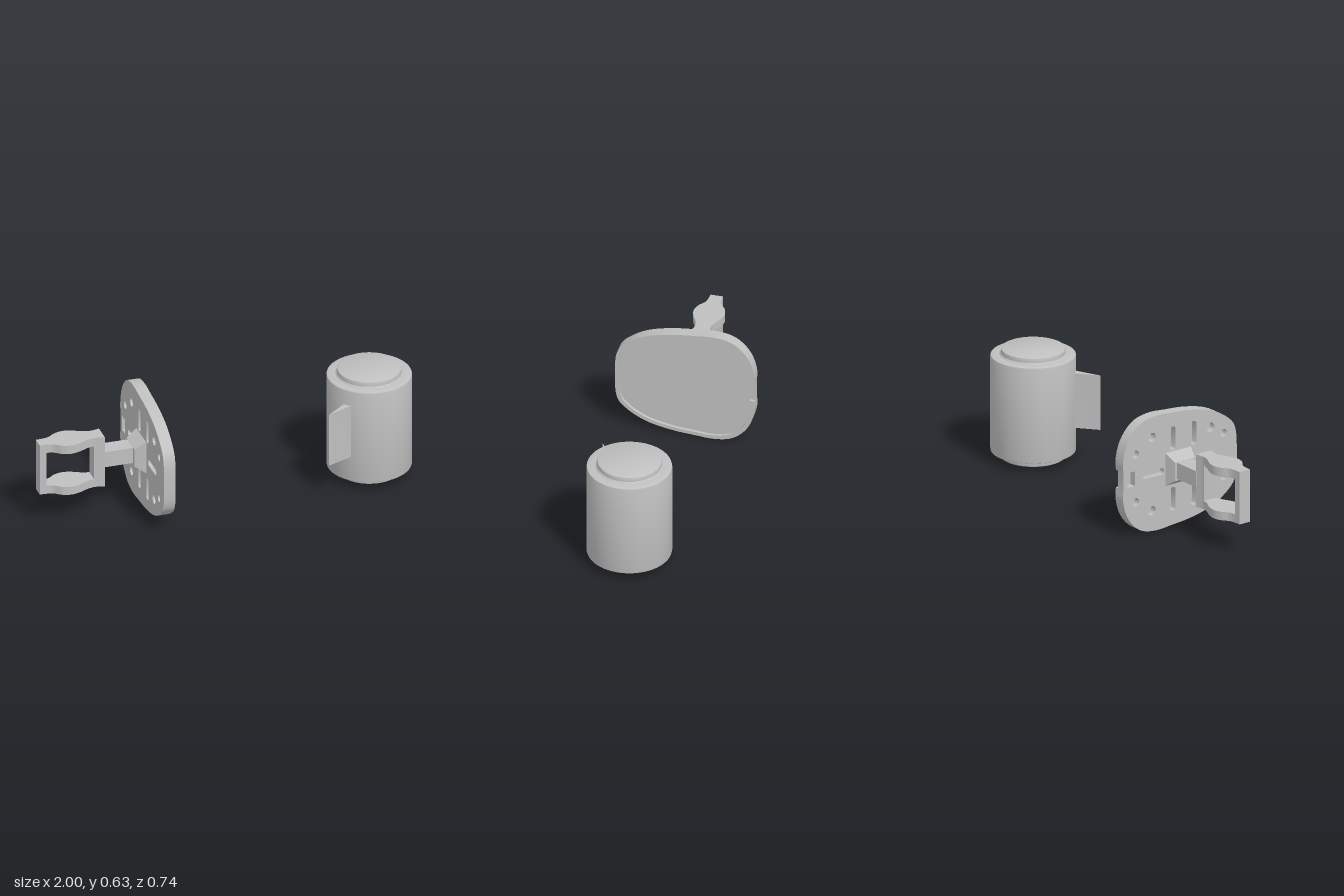
import * as THREE from 'three';
import { toCreasedNormals } from 'three/addons/utils/BufferGeometryUtils.js';

const CY = 0.317; // height of the plate and handle axis
const HZ = -0.011; // handle axis in z

export function createModel() {
  const group = new THREE.Group();
  const grey = new THREE.MeshStandardMaterial({ color: 0xc0c0c0 });
  grey.name = 'plain grey';

  const add = (name, geometry, parent = group) => {
    const mesh = new THREE.Mesh(toCreasedNormals(geometry, 0.6), grey);
    mesh.name = name;
    parent.add(mesh);
    return mesh;
  };

  // ---- Canister: turned body with a stepped cap at each end ----
  const half = [[0.166, 0.045], [0.173, 0.053], [0.212, 0.053], [0.218, 0.056], [0.22, 0.063]];
  const profile = [
    [0, 0.017], [0.158, 0.017], [0.164, 0.02], [0.166, 0.026], ...half,
    ...half.map(([r, y]) => [r, 0.632 - y]).reverse(),
    [0.166, 0.603], [0.164, 0.609], [0.158, 0.612], [0, 0.612],
  ].map(([r, y]) => new THREE.Vector2(r, y));
  const canister = add('canister', new THREE.LatheGeometry(profile, 64));
  canister.position.set(0.779, 0, -0.002);

  // Upright prism: outline in x and z, between two heights
  const prism = (points, y0, y1) => {
    const shape = new THREE.Shape(points.map(([x, z]) => new THREE.Vector2(x, -z)));
    const g = new THREE.ExtrudeGeometry(shape, { depth: y1 - y0, bevelEnabled: false });
    return g.rotateX(-Math.PI / 2).translate(0, y0, 0);
  };
  add('canisterFin', prism([[0.495, 0.213], [0.637, 0.155], [0.67, 0.12], [0.63, 0.1], [0.605, 0.125]], 0.195, 0.492));

  // ---- Mounting plate, drawn in (-z, y) and extruded along x ----
  const plate = new THREE.Group();
  plate.name = 'mountingPlate';
  plate.rotation.y = Math.PI / 2;
  plate.position.set(0, CY, 0);
  group.add(plate);

  const upper = [
    [0.365, 0.048], [0.368, 0.1], [0.345, 0.19], [0.3, 0.255], [0.24, 0.297], [0.15, 0.313],
    [0.05, 0.306], [-0.05, 0.297], [-0.15, 0.278], [-0.22, 0.255], [-0.29, 0.215],
    [-0.345, 0.165], [-0.363, 0.12], [-0.369, 0.06], [-0.37, 0],
  ];
  const lower = upper.slice(0, -1).reverse().map(([u, v]) => [u, -v]);
  const outline = new THREE.CatmullRomCurve3(
    [...upper, ...lower].map(([u, v]) => new THREE.Vector3(u, v, 0)), false, 'centripetal',
  ).getPoints(112).map((p) => new THREE.Vector2(p.x, p.y));

  const layer = (name, shape, x0, x1) => {
    const g = new THREE.ExtrudeGeometry(shape, { depth: x1 - x0, bevelEnabled: false, curveSegments: 10 });
    add(name, g.translate(0, 0, x0), plate);
  };

  // Round-ended opening of half-length a (along u) and b (along v)
  const slot = (u, v, a, b) => {
    const r = Math.min(a, b), pts = [];
    for (let i = 0; i < 24; i++) {
      const t = ((i + 0.5) / 24) * Math.PI * 2;
      const c = Math.cos(t), s = Math.sin(t);
      pts.push(new THREE.Vector2(u + Math.sign(c) * (a - r) + r * c, v + Math.sign(s) * (b - r) + r * s));
    }
    return new THREE.Path(pts);
  };

  const back = new THREE.Shape(outline);
  for (const s of [1, -1]) {
    back.holes.push(
      slot(0.18, s * 0.2, 0.025, 0.025), // screw holes
      slot(0.285, s * 0.13, 0.022, 0.022),
      slot(-0.2, s * 0.17, 0.025, 0.025),
      slot(-0.285, s * 0.12, 0.02, 0.02),
      slot(0.045, s * 0.165, 0.018, 0.065), // upright slots
      slot(-0.09, s * 0.165, 0.018, 0.065),
      slot(s * 0.17, 0, 0.07, 0.018), // level slots
    );
  }
  back.holes.push(new THREE.Path([[0.29, -0.04], [0.34, -0.04], [0.34, 0.04], [0.29, 0.04]]
    .map(([u, v]) => new THREE.Vector2(u, v))));
  layer('plateBack', back, -0.443, -0.405);
  layer('platePanel', new THREE.Shape(outline), -0.405, -0.396);

  // Raised rim, open at the notch
  const inner = outline.map((p) => new THREE.Vector2(p.x * 0.945, p.y * 0.935)).reverse();
  layer('plateRim', new THREE.Shape([...outline, ...inner]), -0.396, -0.38);

  // ---- Handle ----
  const handle = new THREE.Group();
  handle.name = 'handle';
  group.add(handle);

  // Flared hub joining the stem to the plate
  const hub = new THREE.BoxGeometry(0.06, 1, 1);
  const pos = hub.attributes.position;
  for (let i = 0; i < pos.count; i++) {
    const wide = pos.getX(i) > 0;
    pos.setY(i, pos.getY(i) * (wide ? 0.18 : 0.1));
    pos.setZ(i, pos.getZ(i) * (wide ? 0.165 : 0.13));
  }
  hub.translate(-0.472, 0.322, HZ);
  hub.computeVertexNormals();
  add('hub', hub, handle);

  add('stem', new THREE.BoxGeometry(0.2, 0.088, 0.096).translate(-0.56, 0.326, -0.015), handle);

  // Wavy half-width of the loop along x
  const wave = new THREE.CatmullRomCurve3([
    [-1, 0.033], [-0.97, 0.034], [-0.93, 0.042], [-0.89, 0.07], [-0.845, 0.082],
    [-0.8, 0.073], [-0.75, 0.05], [-0.71, 0.04], [-0.68, 0.044], [-0.655, 0.049],
  ].map(([x, w]) => new THREE.Vector3(x, w, 0))).getPoints(54);
  const loopPiece = (name, x0, x1, y0, y1) => {
    const part = wave.filter((p) => p.x >= x0 - 0.001 && p.x <= x1 + 0.001);
    const pts = [
      ...part.map((p) => [p.x, HZ + p.y]),
      ...part.map((p) => [p.x, HZ - p.y]).reverse(),
    ];
    add(name, prism(pts, y0, y1), handle);
  };
  loopPiece('loopTop', -1, -0.655, 0.412, 0.46);
  loopPiece('loopBottom', -1, -0.655, 0.174, 0.22);
  loopPiece('loopEnd', -1, -0.96, 0.22, 0.412);
  loopPiece('loopRoot', -0.715, -0.655, 0.22, 0.412);

  return group;
}
